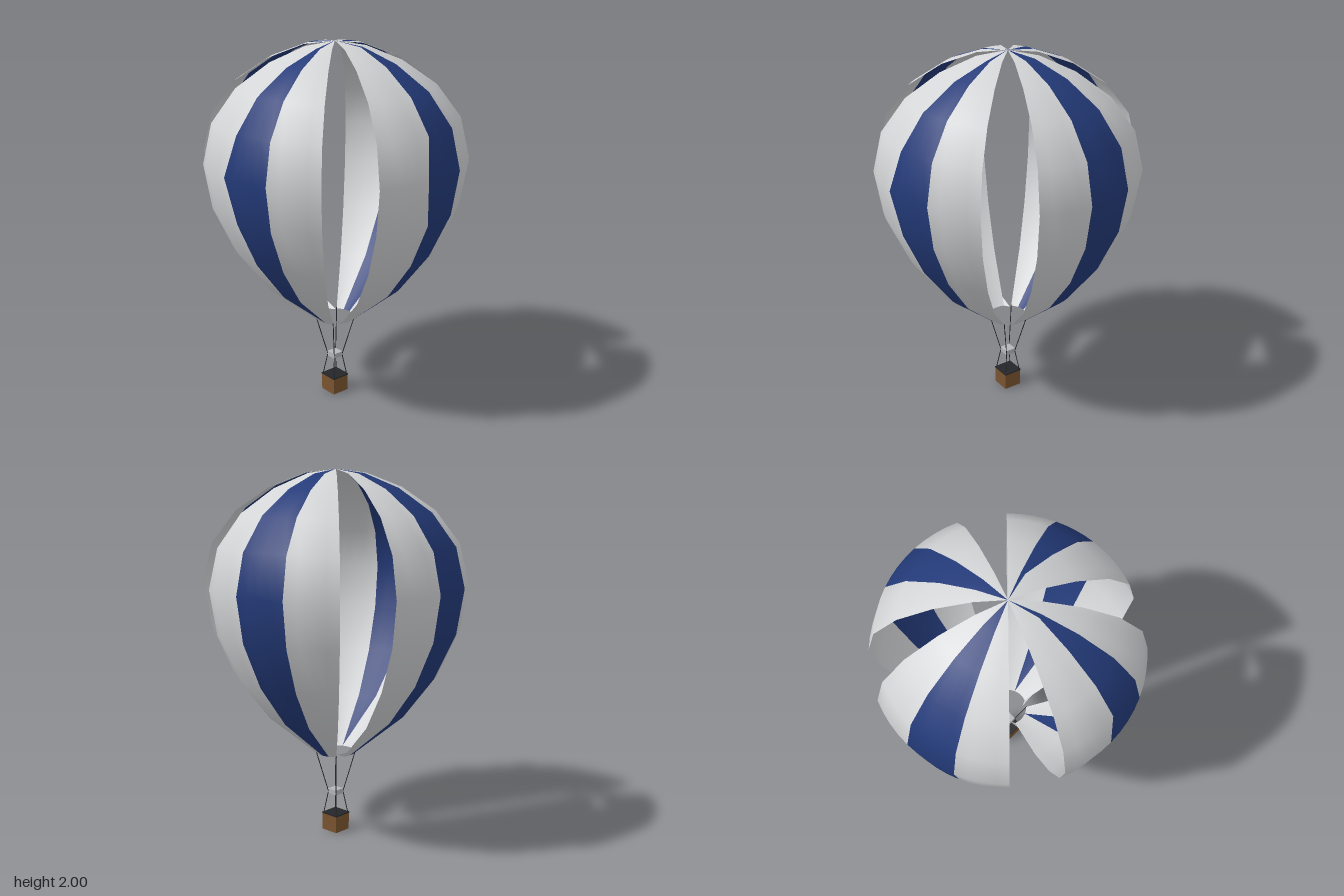
import * as THREE from 'three';

const mat = (name, color, side = THREE.FrontSide) => {
  const m = new THREE.MeshStandardMaterial({ color, side });
  m.name = name;
  return m;
};

// envelope profile, crown to mouth: [radius, height]
const PROFILE = [
  [0, 2], [0.16, 1.98], [0.347, 1.907], [0.527, 1.785], [0.656, 1.615],
  [0.706, 1.404], [0.667, 1.163], [0.555, 0.917], [0.386, 0.69], [0.108, 0.456],
];
const WIDEST = 5;
const GORE = Math.PI / 8;
const STEPS = 4;

// curved fabric strip between two angles, each a function of the ring index
function gore(from, to) {
  const pos = [], index = [], row = STEPS + 1;
  PROFILE.forEach(([r, y], i) => {
    for (let k = 0; k <= STEPS; k++) {
      const a = THREE.MathUtils.lerp(from(i), to(i), k / STEPS);
      pos.push(r * Math.cos(a), y, r * Math.sin(a));
    }
  });
  for (let i = 0; i < PROFILE.length - 1; i++) {
    for (let k = 0; k < STEPS; k++) {
      const p = i * row + k, q = p + row;
      if (i > 0) index.push(p, p + 1, q);
      index.push(p + 1, q + 1, q);
    }
  }
  const g = new THREE.BufferGeometry();
  g.setAttribute('position', new THREE.Float32BufferAttribute(pos, 3));
  g.setIndex(index);
  g.computeVertexNormals();
  return g;
}

export function createModel() {
  const model = new THREE.Group();
  model.name = 'hotAirBalloon';
  const white = mat('white fabric', 0xd4d5d7, THREE.DoubleSide);
  const blue = mat('blue fabric', 0x243b7a, THREE.DoubleSide);
  const steel = mat('burner steel', 0xb4b7ba);
  const wicker = mat('brown wicker', 0x7a5430);
  const dark = mat('dark rope', 0x25262a);

  const add = (name, geometry, material, parent = model) => {
    const m = new THREE.Mesh(geometry, material);
    m.name = name;
    parent.add(m);
    return m;
  };

  // four fabric sectors of white, blue, white, each followed by an open gore
  const envelope = new THREE.Group();
  envelope.name = 'envelope';
  model.add(envelope);
  for (let j = 0; j < 4; j++) {
    const start = Math.PI / 4 + j * Math.PI / 2;
    const overlapped = j === 0 || j === 3; // white laps over the blue edge here
    const seam = (i) => {
      const r = PROFILE[i][0];
      const lap = !overlapped || i === WIDEST ? 0 : r === 0 ? GORE : Math.min(0.042 / r, GORE);
      return start + 2 * GORE - lap;
    };
    const at = (n) => () => start + n * GORE;
    add('whiteGoreA', gore(at(0), at(1)), white, envelope);
    add('blueGore', gore(at(1), seam), blue, envelope);
    add('whiteGoreB', gore(seam, at(3)), white, envelope);

    // small loose flap at the mouth of the open gore
    const flap = new THREE.BufferGeometry();
    const pt = (r, y, n) => [r * Math.cos(start + n * GORE), y, r * Math.sin(start + n * GORE)];
    flap.setAttribute('position', new THREE.Float32BufferAttribute(
      [...pt(0.15, 0.491, 3), ...pt(0.085, 0.462, 3.9), ...pt(0.108, 0.456, 3)], 3));
    flap.computeVertexNormals();
    add('mouthFlap', flap, white, envelope);
  }

  // ropes: mouth to burner frame, burner frame to basket corners
  const rope = (name, a, b) => {
    const v = b.clone().sub(a);
    const m = add(name, new THREE.CylinderGeometry(0.0025, 0.0025, v.length(), 6), dark);
    m.position.copy(a).addScaledVector(v, 0.5);
    m.quaternion.setFromUnitVectors(new THREE.Vector3(0, 1, 0), v.normalize());
  };
  for (const sx of [-1, 1]) {
    for (const sz of [-1, 1]) {
      const corner = (r, y) => new THREE.Vector3(sx * r, y, sz * r);
      rope('upperRope', corner(0.078, 0.462), corner(0.029, 0.225));
      rope('lowerRope', corner(0.029, 0.22), corner(0.048, 0.095));
    }
  }

  // burner frame and basket
  add('burnerFrame', new THREE.BoxGeometry(0.06, 0.028, 0.06), steel).position.y = 0.225;
  add('basket', new THREE.BoxGeometry(0.104, 0.094, 0.104), wicker).position.y = 0.047;
  add('basketTop', new THREE.BoxGeometry(0.108, 0.006, 0.108), dark).position.y = 0.097;
  return model;
}
